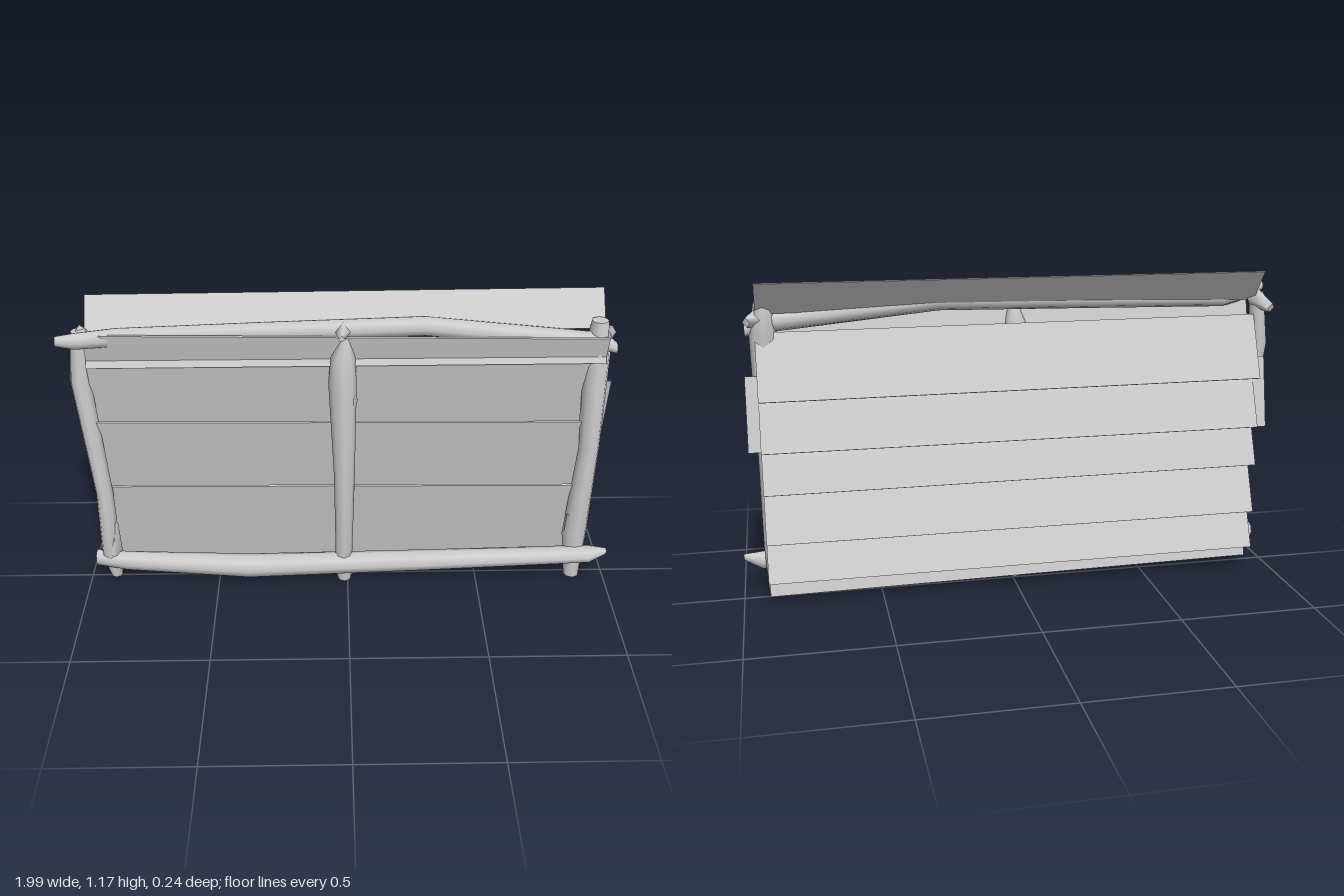
import * as THREE from 'three';

const wood = new THREE.MeshStandardMaterial({ color: 0xcccccc });
wood.name = 'greyWood';

// Rough log: rings [x, y, z, radius] joined into a smooth skin with flat ends
function log(name, rings, sides = 8) {
  const pts = rings.map(r => new THREE.Vector3(r[0], r[1], r[2]));
  const dir = pts[pts.length - 1].clone().sub(pts[0]).normalize();
  const ref = Math.abs(dir.y) > 0.7 ? new THREE.Vector3(0, 0, 1) : new THREE.Vector3(0, 1, 0);
  const u = new THREE.Vector3().crossVectors(ref, dir).normalize();
  const v = new THREE.Vector3().crossVectors(dir, u);
  const pos = [], idx = [];
  const addRing = i => {
    for (let s = 0; s < sides; s++) {
      const a = s / sides * Math.PI * 2;
      const p = pts[i].clone().addScaledVector(u, Math.cos(a) * rings[i][3])
        .addScaledVector(v, Math.sin(a) * rings[i][3]);
      pos.push(p.x, p.y, p.z);
    }
  };
  rings.forEach((r, i) => addRing(i));
  for (let i = 0; i < rings.length - 1; i++) for (let s = 0; s < sides; s++) {
    const a = i * sides + s, b = i * sides + (s + 1) % sides;
    idx.push(a, b, b + sides, a, b + sides, a + sides);
  }
  // End caps with their own corners so the rims stay sharp
  for (const end of [0, rings.length - 1]) {
    const base = pos.length / 3;
    addRing(end);
    for (let s = 1; s < sides - 1; s++) {
      if (end) idx.push(base, base + s, base + s + 1);
      else idx.push(base, base + s + 1, base + s);
    }
  }
  const g = new THREE.BufferGeometry();
  g.setAttribute('position', new THREE.Float32BufferAttribute(pos, 3));
  g.setIndex(idx);
  g.computeVertexNormals();
  const m = new THREE.Mesh(g, wood);
  m.name = name;
  return m;
}

// Thin board from a top edge (y, z) to a bottom edge (y, z), with a slight roll
function board(name, x0, x1, yTop, zTop, yBot, zBot, roll = 0, thick = 0.008) {
  const m = new THREE.Mesh(
    new THREE.BoxGeometry(x1 - x0, Math.hypot(yTop - yBot, zTop - zBot), thick), wood);
  m.name = name;
  m.position.set((x0 + x1) / 2, (yTop + yBot) / 2, (zTop + zBot) / 2);
  m.rotation.set(Math.atan2(zTop - zBot, yTop - yBot), 0, roll);
  return m;
}

export function createModel() {
  const group = new THREE.Group();
  group.name = 'woodenFencePanel';

  // Slanted siding, lower edges standing out to the back
  const slats = [
    [0.99, -0.026, 0.765],
    [0.82, -0.02, 0.58],
    [0.67, -0.02, 0.43],
    [0.46, -0.03, 0.245],
    [0.33, -0.024, 0.1],
  ];
  slats.forEach(([yt, zt, yb], i) =>
    group.add(board('slat' + (i + 1), -0.91, 0.91, yt, zt, yb, -0.12, i % 2 ? 0.001 : -0.001)));
  group.add(board('wideSlat', -0.958, 0.953, 0.835, -0.03, 0.575, -0.085, 0.004, 0.004));

  // Front boards showing between the posts, each overlapping the one below
  group.add(board('frontBoard1', -0.91, 0.905, 1.066, 0.056, 0.8, -0.008, -0.017));
  [[0.95, 0.58, 0.001], [0.712, 0.33, -0.009], [0.437, 0.033, -0.009]].forEach(([yt, yb, roll], i) =>
    group.add(board('frontBoard' + (i + 2), -0.912, 0.908, yt, 0.03, yb, 0.03 - (yt - yb) / 5, roll)));
  group.add(board('gapStrip', -0.91, 0.905, 0.975, 0.034, 0.948, 0.046, 0.002, 0.004));

  // Cap board leaning up and back
  group.add(board('capBoard', -0.915, 0.905, 1.165, -0.105, 1.05, -0.015, 0.007, 0.004));

  // Posts
  group.add(log('leftPost', [
    [-0.9, 0.025, 0.02, 0.022], [-0.91, 0.12, 0.025, 0.036], [-0.902, 0.42, 0.045, 0.032],
    [-0.945, 0.88, 0.005, 0.036], [-0.93, 1.07, 0, 0.028]]));
  group.add(log('rightPost', [
    [0.88, 0.005, 0.02, 0.03], [0.874, 0.2, 0.015, 0.047], [0.885, 0.6, 0.033, 0.038],
    [0.882, 0.98, -0.008, 0.048], [0.88, 1.092, -0.008, 0.03]]));
  group.add(log('centrePost', [
    [-0.012, 0.005, 0.03, 0.026], [-0.014, 0.13, 0.036, 0.032], [-0.012, 0.5, 0.066, 0.038],
    [-0.018, 0.88, 0.04, 0.05], [-0.016, 0.98, 0.042, 0.043], [-0.008, 1.06, 0.048, 0.014]]));

  // Rails
  group.add(log('bottomRail', [
    [-0.965, 0.115, 0.03, 0.03], [-0.85, 0.105, 0.04, 0.036], [-0.38, 0.078, 0.045, 0.046],
    [0.3, 0.1, 0.05, 0.04], [0.93, 0.127, 0.058, 0.034], [0.995, 0.142, 0.06, 0.012]]));
  group.add(log('topRail', [
    [-0.99, 1.08, 0.1, 0.018], [-0.93, 1.066, 0.072, 0.03], [-0.8, 1.052, 0.016, 0.034],
    [-0.3, 1.065, 0.006, 0.035], [0.27, 1.078, -0.002, 0.036], [0.9, 1.015, 0.004, 0.034],
    [0.945, 0.99, 0.005, 0.02]]));

  // Broken branch stubs and splinters
  const stubs = [
    ['leftLowerStub', [-0.9, 0.15, 0.03, 0.035], [-0.875, 0.29, 0.045, 0.008]],
    ['leftUpperStub', [-0.92, 1.05, 0, 0.04], [-0.96, 1.02, -0.07, 0.018]],
    ['rightLowerStub', [0.87, 0.17, 0.02, 0.04], [0.845, 0.3, 0.035, 0.012]],
    ['rightUpperStub', [0.89, 1.04, 0, 0.04], [0.935, 1.03, -0.05, 0.018]],
    ['rightMiddleStub', [0.87, 0.68, 0.025, 0.03], [0.85, 0.81, 0.01, 0.01]],
    ['centreStub', [0.0, 0.74, 0.05, 0.025], [0.026, 0.83, 0.06, 0.01]],
    ['centreFootStub', [-0.012, 0.06, 0.03, 0.034], [-0.012, 0.015, 0.03, 0.03]],
    ['centreTopStub', [-0.015, 1.075, 0.02, 0.03], [-0.02, 1.075, 0.09, 0.012]],
  ];
  for (const [name, a, b] of stubs) group.add(log(name, [a, b], 4));

  return group;
}
